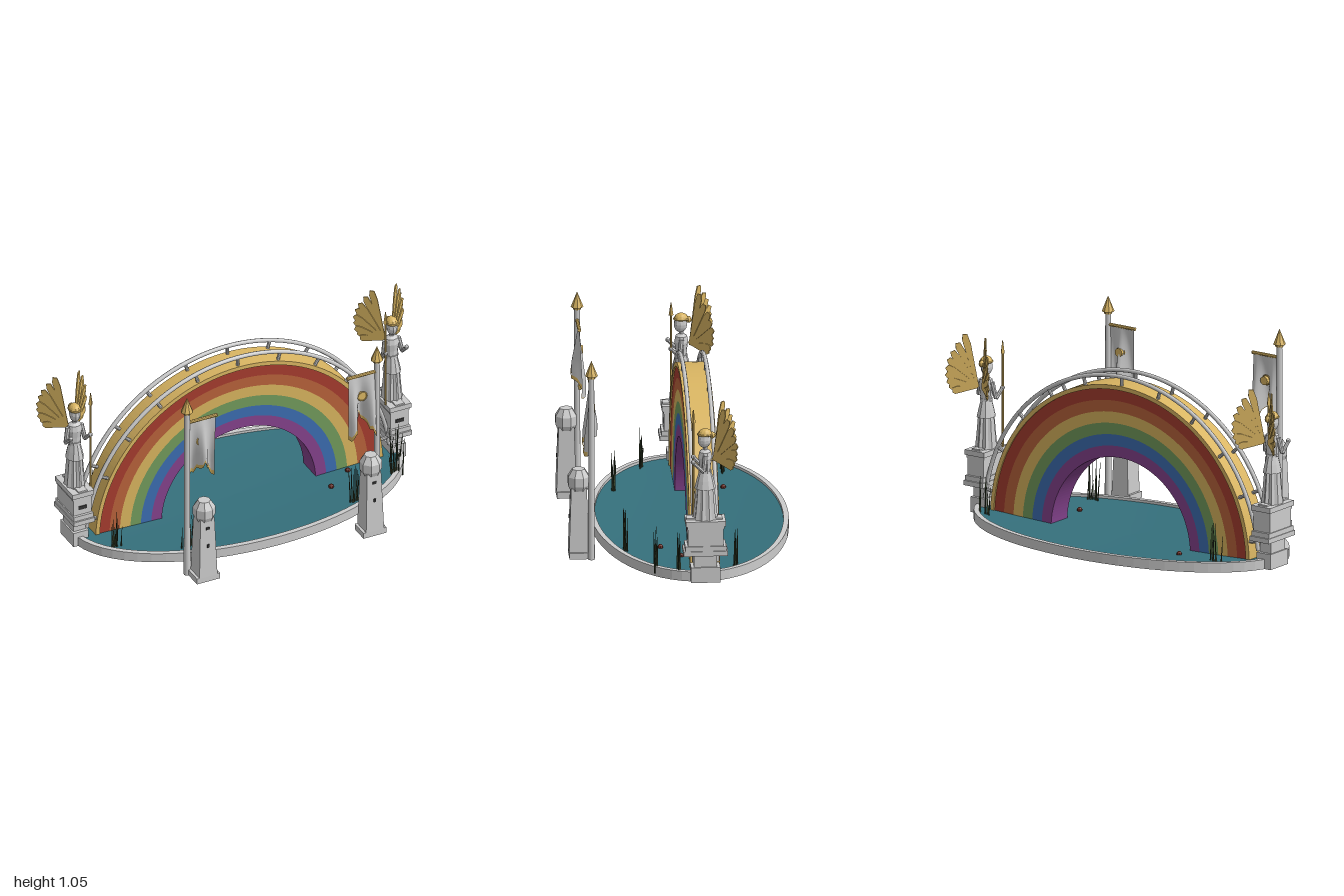
import * as THREE from 'three';

const mat = (color, extra = {}) => {
  const m = new THREE.MeshStandardMaterial({ color, ...extra });
  return m;
};
const stone = mat(0xcccccc, { flatShading: true });
const smoothStone = mat(0xcccccc);
const cloth = mat(0xcccccc, { side: THREE.DoubleSide });
const gold = mat(0xd9b562, { flatShading: true });
const goldThin = mat(0xd9b562, { side: THREE.DoubleSide });
const dark = mat(0x333333);
const water = mat(0x35707c, { side: THREE.DoubleSide });
const reedGreen = mat(0x35402a, { flatShading: true });
const lilyRed = mat(0x6b2d24, { flatShading: true });

const POOL_Z = -0.07, ARCH_Z = -0.095;

function add(parent, name, geometry, material, x = 0, y = 0, z = 0) {
  const mesh = new THREE.Mesh(geometry, material);
  mesh.name = name;
  mesh.position.set(x, y, z);
  parent.add(mesh);
  return mesh;
}

// box standing on y0
const block = (p, name, w, y0, y1, d, x, z, m = stone) =>
  add(p, name, new THREE.BoxGeometry(w, y1 - y0, d), m, x, (y0 + y1) / 2, z);

// round bar between two points
function bar(p, name, a, b, r0, r1, m = stone, sides = 8) {
  const A = new THREE.Vector3(...a), B = new THREE.Vector3(...b);
  const mesh = add(p, name, new THREE.CylinderGeometry(r1, r0, A.distanceTo(B), sides), m);
  mesh.position.copy(A).lerp(B, 0.5);
  mesh.quaternion.setFromUnitVectors(new THREE.Vector3(0, 1, 0), B.sub(A).normalize());
  return mesh;
}

function pool() {
  const g = new THREE.Group();
  g.name = 'pool';
  g.position.z = POOL_Z;
  const oval = (S, rx, rz) => new S().absellipse(0, 0, rx, rz, 0, Math.PI * 2);
  const slab = (shape, depth) => new THREE.ExtrudeGeometry(shape,
    { depth, bevelEnabled: false, curveSegments: 32 }).rotateX(-Math.PI / 2);
  const rim = oval(THREE.Shape, 0.907, 0.495);
  rim.holes.push(oval(THREE.Path, 0.88, 0.468));
  add(g, 'poolRim', slab(rim, 0.05), stone);
  add(g, 'poolFloor', slab(oval(THREE.Shape, 0.9, 0.488), 0.01), stone);
  // shallow dish of water
  const dish = [0, 0.25, 0.5, 0.75, 1].map(t => new THREE.Vector2(t, 0.015 + 0.022 * t * t));
  add(g, 'water', new THREE.LatheGeometry(dish, 48).scale(0.885, 1, 0.473), water);
  return g;
}

function halfRing(r0, r1, depth) {
  const a = 0.018, s = new THREE.Shape();
  s.absarc(0, 0, r1, a, Math.PI - a, false);
  s.absarc(0, 0, r0, Math.PI - a, a, true);
  return new THREE.ExtrudeGeometry(s, { depth, bevelEnabled: false, curveSegments: 40 })
    .translate(0, 0, -depth / 2);
}

function bridge() {
  const g = new THREE.Group();
  g.name = 'rainbowBridge';
  g.position.z = ARCH_Z;
  const colors = [0x84428c, 0x3c6db0, 0x729a5c, 0xd8b45e, 0xb8623a, 0xa53c2e];
  const w = 0.35 / colors.length;
  colors.forEach((c, i) => add(g, 'rainbowBand' + (i + 1),
    halfRing(0.43 + i * w, 0.43 + (i + 1) * w, 0.136), mat(c)));
  add(g, 'goldDeck', halfRing(0.78, 0.802, 0.15), mat(0xd9b562));
  // handrails and their posts
  for (const z of [-0.058, 0.058]) {
    add(g, 'handrail', new THREE.TorusGeometry(0.848, 0.011, 8, 56, Math.PI - 0.2).rotateZ(0.1), smoothStone, 0, 0, z);
    for (let i = -5; i <= 5; i++) {
      const a = i * 0.283, s = Math.sin(a), c = Math.cos(a);
      bar(g, 'railPost', [s * 0.795, c * 0.795, z], [s * 0.848, c * 0.848, z], 0.009, 0.009);
    }
  }
  return g;
}

// fan of flat feathers, side = +1 or -1
function wing(p, side) {
  const g = new THREE.Group();
  g.name = 'wing';
  g.position.set(side * 0.018, 0.645, -0.045);
  const n = 9;
  for (let i = 0; i < n; i++) {
    const t = i / (n - 1), L = 0.285 - 0.155 * Math.pow(t, 0.75), w = 0.019;
    const f = new THREE.Shape();
    f.moveTo(-0.006, 0); f.lineTo(0.006, 0); f.lineTo(w, L * 0.9);
    f.lineTo(w * 0.5, L); f.lineTo(-w * 0.7, L * 0.98); f.lineTo(-w, L * 0.8);
    f.closePath();
    const geo = new THREE.ExtrudeGeometry(f, { depth: 0.006, bevelEnabled: false });
    geo.translate(0, 0, (i % 2) * 0.005).rotateZ(-(0.24 + t * 1.45));
    const feather = add(g, 'feather', geo, goldThin);
    feather.rotation.y = side > 0 ? 0.76 : Math.PI - 0.76;
  }
  p.add(g);
}

// winged figure on a pedestal; s is +1 on the left, -1 on the right
function statue(s) {
  const g = new THREE.Group();
  g.name = s > 0 ? 'leftStatue' : 'rightStatue';
  g.position.set(s * 0.885, 0, -0.09);
  // pedestal: width, bottom, top, depth
  [[0.085, 0, 0.08, 0.147], [0.07, 0.08, 0.15, 0.115], [0.118, 0.145, 0.17, 0.222],
   [0.11, 0.17, 0.195, 0.205], [0.1, 0.195, 0.29, 0.178], [0.108, 0.285, 0.3, 0.185],
   [0.12, 0.3, 0.327, 0.2]].forEach(([w, a, b, d]) => block(g, 'pedestal', w, a, b, d, 0, 0));
  block(g, 'pedestalSlot', 0.045, 0.225, 0.245, 0.004, 0, 0.09, dark);
  block(g, 'pedestalBack', 0.05, 0.327, 0.335, 0.18, 0, 0.005);

  // robe and torso
  const lathe = (name, pts, n, sx, sz, m = stone) => add(g, name,
    new THREE.LatheGeometry(pts.map(q => new THREE.Vector2(...q)), n).scale(sx, 1, sz), m);
  const robe = lathe('robe', [[0, 0.327], [0.06, 0.327], [0.052, 0.4], [0.044, 0.49], [0.03, 0.575], [0, 0.575]], 20, 0.85, 1);
  const pos = robe.geometry.attributes.position;
  for (let i = 0; i < pos.count; i++) {           // pleats
    const k = Math.floor(i / 6) % 2 ? 0.9 : 1.06;
    pos.setX(i, pos.getX(i) * k);
    pos.setZ(i, pos.getZ(i) * k);
  }
  lathe('overskirt', [[0.054, 0.487], [0.044, 0.53], [0.031, 0.575]], 10, 0.85, 1,
    mat(0xcccccc, { flatShading: true, side: THREE.DoubleSide }));
  lathe('torso', [[0, 0.565], [0.031, 0.57], [0.034, 0.61], [0.041, 0.65], [0.034, 0.68], [0.014, 0.692], [0.013, 0.715], [0, 0.715]], 10, 1, 0.85);
  lathe('belt', [[0.0, 0.57], [0.034, 0.57], [0.034, 0.582], [0, 0.582]], 10, 1, 0.95);
  // head with golden hair and circlet
  add(g, 'head', new THREE.SphereGeometry(0.036, 10, 8).scale(0.78, 1.2, 0.95), stone, 0, 0.742, 0.004);
  add(g, 'hair', new THREE.SphereGeometry(0.037, 10, 5, 0, Math.PI * 2, 0, 1.5).scale(0.85, 0.95, 1.02), gold, 0, 0.765, 0);
  add(g, 'hairKnot', new THREE.SphereGeometry(0.017, 8, 6), gold, 0, 0.765, -0.036);
  add(g, 'circlet', new THREE.TorusGeometry(0.033, 0.005, 6, 14).rotateX(Math.PI / 2).scale(0.9, 1, 1.08), gold, 0, 0.77, 0);

  // inner arm holding a spear, outer arm raised forward
  const limb = (name, a, b, r0, r1) => bar(g, name, [a[0] * s, a[1], a[2]], [b[0] * s, b[1], b[2]], r0, r1);
  limb('upperArm', [-0.036, 0.668, 0], [-0.053, 0.585, 0.01], 0.014, 0.011);
  limb('forearm', [-0.053, 0.585, 0.01], [-0.06, 0.63, 0.054], 0.011, 0.009);
  limb('upperArm', [0.036, 0.668, 0], [0.054, 0.59, 0.01], 0.014, 0.011);
  limb('forearm', [0.054, 0.59, 0.01], [0.052, 0.635, 0.06], 0.011, 0.009);
  for (const [x, y, z] of [[-0.06, 0.632, 0.056], [0.052, 0.642, 0.064]])
    add(g, 'hand', new THREE.SphereGeometry(0.012, 8, 6), stone, s * x, y, z);
  bar(g, 'spearShaft', [-0.062 * s, 0.327, 0.055], [-0.062 * s, 0.82, 0.055], 0.006, 0.006, gold);
  bar(g, 'spearHead', [-0.062 * s, 0.81, 0.055], [-0.062 * s, 0.878, 0.055], 0.012, 0.002, gold, 4);
  wing(g, 1);
  wing(g, -1);
  return g;
}

// hanging cloth, from fraction v0 to v1 of its drop, with a forked foot
function bannerCloth(s, v0, v1, lift) {
  const geo = new THREE.PlaneGeometry(1, 1, 16, 10), p = geo.attributes.position;
  for (let i = 0; i < p.count; i++) {
    const u = p.getX(i) + 0.5, v = v0 + (0.5 - p.getY(i)) * (v1 - v0);
    const foot = 0.53 + 0.12 * (1 - Math.abs(2 * u - 1)) + 0.012 * Math.cos(u * 38);
    p.setXYZ(i, (u - 0.5) * 0.15, 0.895 + (foot - 0.895) * v,
      s * Math.sin(u * 9) * 0.036 * Math.min(1, v * 1.2) + lift);
  }
  geo.computeVertexNormals();
  return geo;
}

function bannerPost(s) {
  const g = new THREE.Group();
  g.name = s > 0 ? 'leftBannerPost' : 'rightBannerPost';
  // stone bollard
  const tapered = (name, w0, w1, y0, y1, n = 4) => {
    const k = n === 4 ? Math.SQRT1_2 : 0.541;
    return add(g, name, new THREE.CylinderGeometry(w1 * k, w0 * k, y1 - y0, n).rotateY(Math.PI / n),
      stone, s * 0.465, (y0 + y1) / 2, 0.515);
  };
  block(g, 'bollardFoot', 0.128, 0, 0.032, 0.098, s * 0.465, 0.515);
  tapered('bollardShaft', 0.1, 0.078, 0.03, 0.365);
  tapered('bollardHead', 0.085, 0.105, 0.35, 0.375, 8);
  tapered('bollardHead', 0.105, 0.105, 0.375, 0.42, 8);
  tapered('bollardHead', 0.105, 0.06, 0.42, 0.458, 8);
  block(g, 'bollardSlot', 0.02, 0.305, 0.318, 0.006, s * 0.465, 0.557, dark);
  block(g, 'bollardLatch', 0.012, 0.2, 0.218, 0.008, s * 0.465, 0.561, dark);
  // pole, finial and crossbar
  const px = s * 0.53, pz = 0.455;
  bar(g, 'pole', [px, 0, pz], [px, 0.975, pz], 0.017, 0.014, smoothStone, 12);
  bar(g, 'finial', [px, 0.968, pz], [px, 1.048, pz], 0.032, 0, gold);
  bar(g, 'finialCollar', [px, 0.955, pz], [px, 0.972, pz], 0.02, 0.024, gold);
  bar(g, 'crossbar', [px, 0.9, pz], [s * 0.362, 0.9, pz], 0.009, 0.009, gold);
  // banner with golden hem and round boss
  const bx = s * 0.445;
  add(g, 'banner', bannerCloth(s, 0, 1, 0), cloth, bx, 0, pz);
  add(g, 'bannerHem', bannerCloth(s, 0.94, 1.01, 0.003), goldThin, bx, 0, pz);
  add(g, 'bannerBoss', new THREE.CylinderGeometry(0.022, 0.022, 0.022, 12).rotateX(Math.PI / 2), gold, bx + s * 0.005, 0.77, pz - 0.012);
  add(g, 'bannerBossRing', new THREE.TorusGeometry(0.024, 0.004, 6, 16), gold, bx + s * 0.005, 0.77, pz - 0.002);
  return g;
}

function plants() {
  const g = new THREE.Group();
  g.name = 'pondPlants';
  let seed = 7;
  const rnd = () => (seed = (seed * 16807) % 2147483647) / 2147483647;
  const clumps = [[-0.67, -0.285], [-0.755, 0.12], [-0.44, 0.28], [0.495, 0.28], [0.8, 0.15], [0.78, -0.25], [0.83, 0.04]];
  for (const [x, z] of clumps)
    for (let i = 0; i < 9; i++) {
      const bx = x + (rnd() - 0.5) * 0.07, bz = z + (rnd() - 0.5) * 0.018, h = 0.11 + rnd() * 0.12;
      bar(g, 'reed', [bx, 0.02, bz], [bx + (rnd() - 0.5) * 0.03, 0.02 + h, bz + (rnd() - 0.5) * 0.014], 0.0045, 0.001, reedGreen, 4);
    }
  for (const [x, z] of [[-0.44, -0.27], [0.45, 0.105], [0.59, 0.01]])
    add(g, 'waterBud', new THREE.SphereGeometry(0.014, 8, 6), lilyRed, x, 0.03, z);
  return g;
}

export function createModel() {
  const model = new THREE.Group();
  model.name = 'rainbowBridgeShrine';
  model.add(pool(), bridge(), plants());
  for (const s of [1, -1]) model.add(statue(s), bannerPost(s));
  return model;
}
